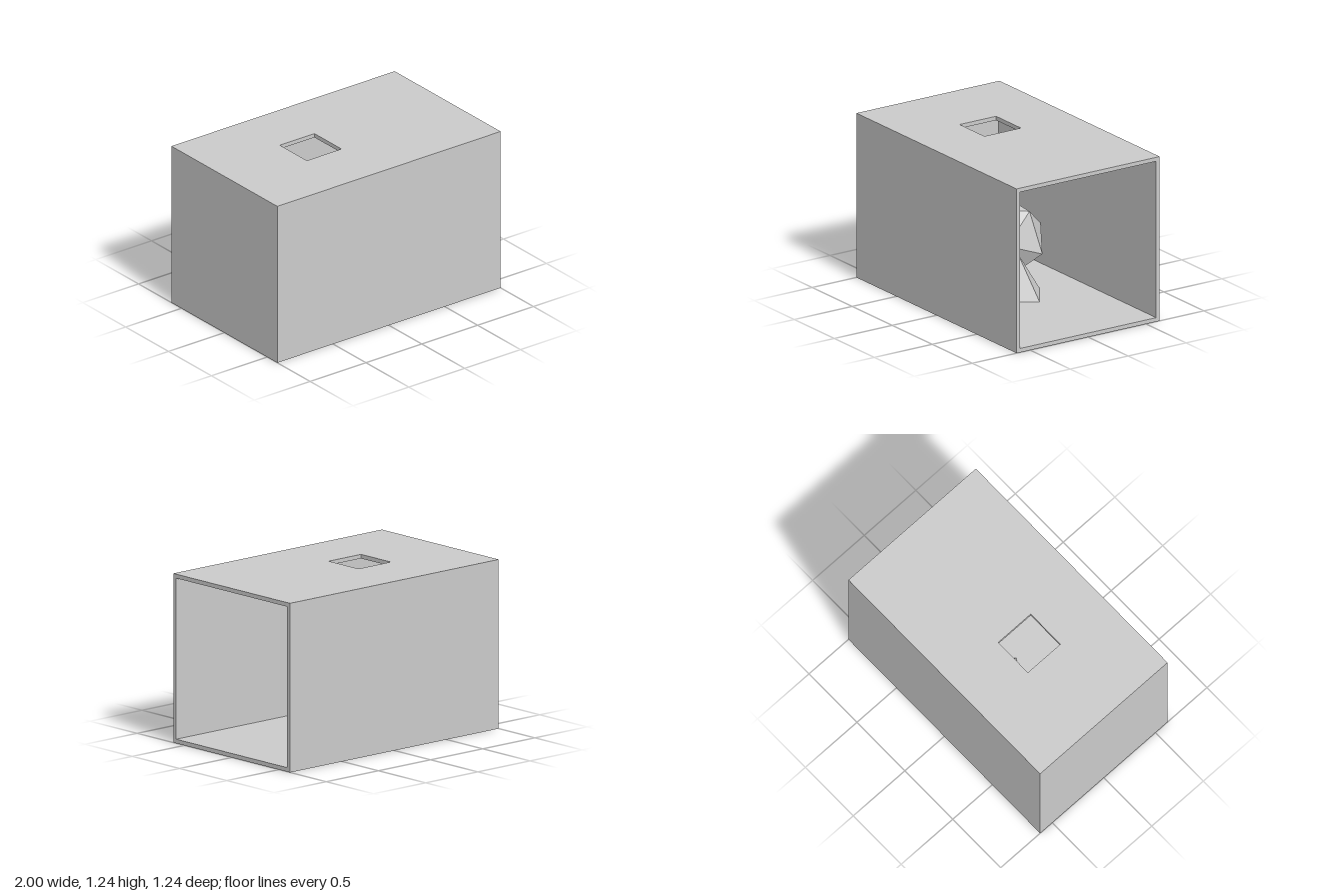
import * as THREE from 'three';

const L = 2, H = 1.235, W = 1.235, T = 0.03; // outer size and wall thickness

export function createModel() {
  const group = new THREE.Group();
  const material = new THREE.MeshStandardMaterial({ color: 0xcccccc, flatShading: true });

  function add(name, geometry, x, y, z) {
    const mesh = new THREE.Mesh(geometry, material);
    mesh.name = name;
    mesh.position.set(x, y, z);
    group.add(mesh);
    return mesh;
  }

  // Room shell, open at the +x end
  const wallH = H - 2 * T;
  add('floor', new THREE.BoxGeometry(L, T, W), 0, T / 2, 0);
  for (const [name, side] of [['frontWall', 1], ['backWall', -1]]) {
    add(name, new THREE.BoxGeometry(L, wallH, T), 0, H / 2, side * (W - T) / 2);
  }
  add('endWall', new THREE.BoxGeometry(T, wallH, W - 2 * T), -(L - T) / 2, H / 2, 0);

  // Ceiling with a square skylight; shape y becomes z
  const rect = (Type, x0, z0, x1, z1) => new Type([
    new THREE.Vector2(x0, z0), new THREE.Vector2(x1, z0),
    new THREE.Vector2(x1, z1), new THREE.Vector2(x0, z1),
  ]);
  const roof = rect(THREE.Shape, -L / 2, -W / 2, L / 2, W / 2);
  roof.holes.push(rect(THREE.Path, -0.38, -0.16, -0.07, 0.155));
  const roofGeometry = new THREE.ExtrudeGeometry(roof, { depth: T, bevelEnabled: false });
  add('ceiling', roofGeometry.rotateX(Math.PI / 2), 0, H, 0);

  // Tall block standing on the floor, turned about y
  const blockH = 0.695;
  add('tallBlock', new THREE.BoxGeometry(0.31, blockH, 0.31), -0.452, T + blockH / 2, 0.2525)
    .rotation.y = -0.4;

  // Square pyramid
  const pyramidH = 0.31;
  add('pyramid', new THREE.ConeGeometry(0.217, pyramidH, 4), 0.038, T + pyramidH / 2, -0.06)
    .rotation.y = 0.186;

  // Icosahedron lying on one face, oriented by two neighbouring corners
  const a = new THREE.Vector3(0.013, 0.246, 0.183);
  const b = new THREE.Vector3(0.178, 0.236, -0.087);
  const up = a.clone().add(b).normalize();
  const across = b.clone().sub(a);
  across.addScaledVector(up, -across.dot(up)).normalize();
  const basis = new THREE.Matrix4().makeBasis(across, up, across.clone().cross(up));
  add('icosahedron', new THREE.IcosahedronGeometry(0.308, 0), -0.436, 0.282, -0.273)
    .quaternion.setFromRotationMatrix(basis);

  return group;
}
